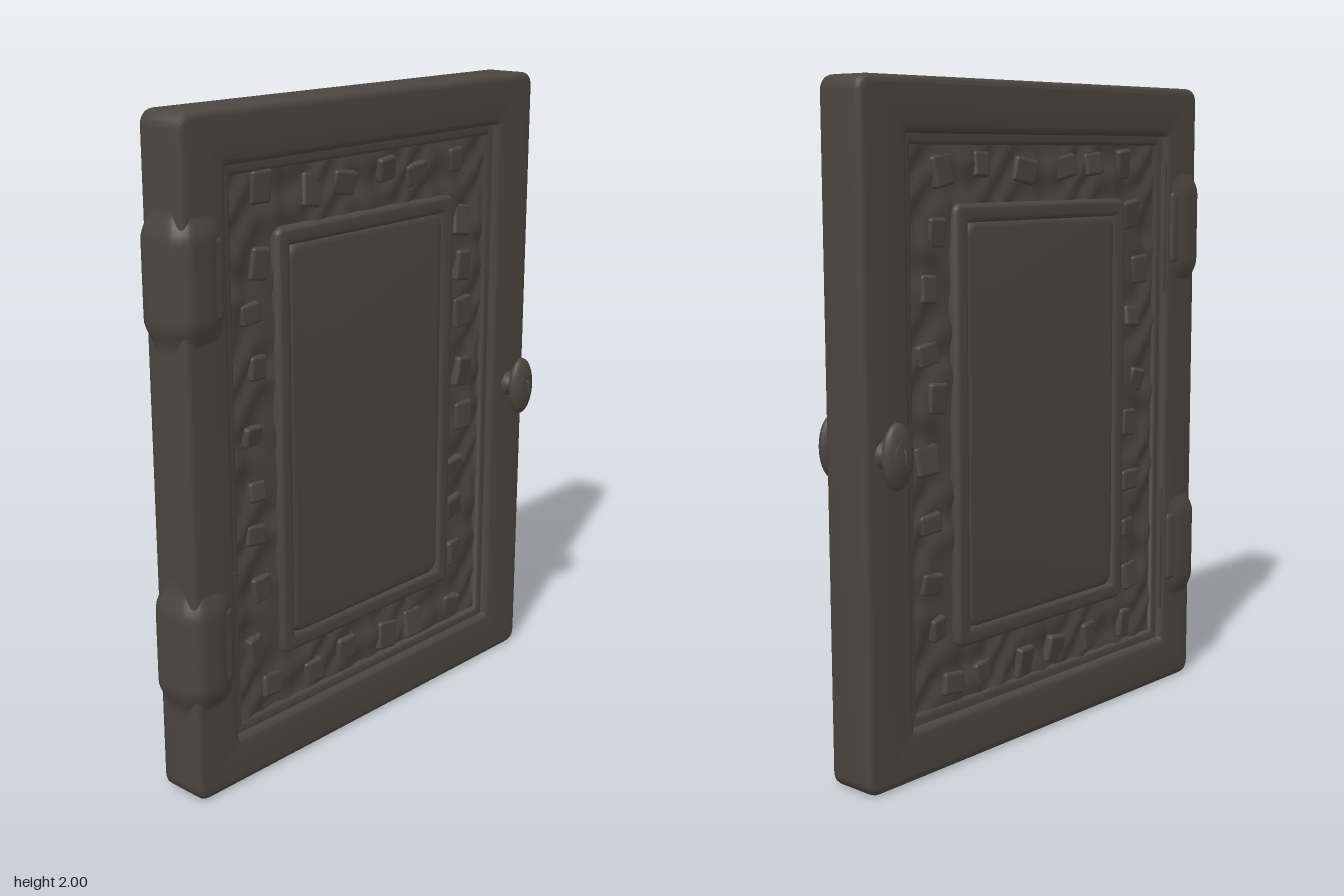
import * as THREE from 'three';
import { toCreasedNormals } from 'three/addons/utils/BufferGeometryUtils.js';
import { RoundedBoxGeometry } from 'three/addons/geometries/RoundedBoxGeometry.js';

const CY = 1; // height of the door's middle

function roundedRect(path, x0, y0, x1, y1, r) {
  path.moveTo(x0 + r, y0);
  path.lineTo(x1 - r, y0);
  path.quadraticCurveTo(x1, y0, x1, y0 + r);
  path.lineTo(x1, y1 - r);
  path.quadraticCurveTo(x1, y1, x1 - r, y1);
  path.lineTo(x0 + r, y1);
  path.quadraticCurveTo(x0, y1, x0, y1 - r);
  path.lineTo(x0, y0 + r);
  path.quadraticCurveTo(x0, y0, x0 + r, y0);
  return path;
}

// Soft-edged slab (optionally with an opening); sizes are the finished outer sizes
function slab(outer, hole, z0, z1, bevel, r) {
  const [x0, y0, x1, y1] = outer;
  const shape = roundedRect(new THREE.Shape(), x0 + bevel, y0 + bevel, x1 - bevel, y1 - bevel, r);
  if (hole) {
    const [a, b, c, d] = hole;
    shape.holes.push(roundedRect(new THREE.Path(), a - bevel, b - bevel, c + bevel, d + bevel, r));
  }
  const geo = new THREE.ExtrudeGeometry(shape, {
    depth: z1 - z0 - 2 * bevel, bevelThickness: bevel, bevelSize: bevel, bevelSegments: 4, curveSegments: 5,
  });
  geo.translate(0, 0, z0 + bevel);
  return toCreasedNormals(geo, 0.7);
}

function seeded(seed) {
  let s = seed;
  return () => (s = (s * 16807) % 2147483647) / 2147483647;
}

// Uneven carved ground between the frame and the panel
function carvedGround(seed) {
  const rnd = seeded(seed);
  const geo = new THREE.PlaneGeometry(1.2, 1.72, 60, 86);
  const p = geo.attributes.position;
  const a = rnd() * 6, b = rnd() * 6;
  for (let i = 0; i < p.count; i++) {
    const x = p.getX(i), y = p.getY(i);
    const wave = Math.sin(x * 31 + a + 2 * Math.sin(y * 13)) * Math.sin(y * 27 + b + 2 * Math.sin(x * 17));
    p.setZ(i, 0.047 + 0.009 * wave + 0.003 * Math.sin(x * 67 + y * 53));
  }
  geo.computeVertexNormals();
  return geo;
}

export function createModel() {
  const door = new THREE.Group();
  door.name = 'door';
  const wood = new THREE.MeshStandardMaterial({ color: 0x4a4640 });
  wood.name = 'dark wood';

  const add = (parent, name, geo, x = 0, y = 0, z = 0) => {
    const mesh = new THREE.Mesh(geo, wood);
    mesh.name = name;
    mesh.position.set(x, y, z);
    parent.add(mesh);
    return mesh;
  };

  // Outer frame
  add(door, 'frame', slab([-0.75, 0, 0.765, 2], [-0.585, 0.155, 0.585, 1.845], -0.083, 0.08, 0.02, 0.025));

  // Each face carries the carving, inner moulding, panel and handle
  for (const side of [1, -1]) {
    const face = new THREE.Group();
    face.name = side > 0 ? 'frontFace' : 'backFace';
    face.rotation.y = side > 0 ? 0 : Math.PI;
    door.add(face);

    add(face, 'carvedGround', carvedGround(side > 0 ? 71 : 523), 0, CY, 0);

    // Thin lip just inside the frame
    add(face, 'outerLip', slab([-0.6, 0.14, 0.6, 1.86], [-0.555, 0.185, 0.555, 1.815], 0.02, 0.06, 0.012, 0.015));

    // Small chipped blocks spread around the band
    const rnd = seeded(side > 0 ? 977 : 3119);
    const blocks = [];
    for (let i = 0; i < 8; i++) {
      const y = 0.42 + i * 0.165;
      blocks.push([-0.47, y], [0.46, y]);
    }
    for (let i = 0; i < 6; i++) {
      const x = -0.42 + i * 0.168;
      blocks.push([x, 0.25], [x, 1.75]);
    }
    for (const [x, y] of blocks) {
      const block = add(face, 'carvedBlock',
        new RoundedBoxGeometry(0.06 + 0.03 * rnd(), 0.06 + 0.04 * rnd(), 0.03, 2, 0.01),
        x + (rnd() - 0.5) * 0.06, y + (rnd() - 0.5) * 0.05, 0.045);
      block.rotation.set((rnd() - 0.5) * 0.35, (rnd() - 0.5) * 0.35, (rnd() - 0.5) * 0.4);
    }

    // Inner moulding and raised panel
    add(face, 'panelMoulding', slab([-0.39, 0.345, 0.39, 1.65], [-0.335, 0.4, 0.335, 1.595], 0.02, 0.07, 0.015, 0.015));
    add(face, 'panel', slab([-0.345, 0.39, 0.345, 1.605], null, 0.0, 0.065, 0.025, 0.03));

    // Oval handle on a short stem
    const handle = new THREE.Group();
    handle.name = 'handle';
    handle.position.set(0.685 * side, 0.975, 0);
    face.add(handle);
    const stem = new THREE.LatheGeometry([
      [0.045, 0.07], [0.042, 0.085], [0.022, 0.095], [0.022, 0.13],
    ].map(([r, y]) => new THREE.Vector2(r, y)), 20);
    stem.rotateX(Math.PI / 2);
    add(handle, 'handleStem', stem);
    const grip = new THREE.SphereGeometry(1, 24, 16);
    grip.scale(0.055, 0.095, 0.027);
    add(handle, 'handleGrip', grip, 0, 0, 0.128);
    const ring = new THREE.TorusGeometry(0.026, 0.006, 8, 20);
    ring.scale(1, 1.5, 1);
    add(handle, 'handleRing', ring, 0, 0, 0.147);
    const curl = new THREE.CatmullRomCurve3([[0, 0.02, 0.148], [0, 0.018, 0.16], [0, 0, 0.164], [0, -0.02, 0.163]]
      .map((v) => new THREE.Vector3(...v)));
    add(handle, 'handleCurl', new THREE.TubeGeometry(curl, 10, 0.004, 6), 0, 0, -0.002);
  }

  // Hinge wraps on the right edge, thinning into the frame
  for (const y of [1.55, 0.47]) {
    const geo = new THREE.BoxGeometry(0.19, 0.42, 0.2, 12, 28, 12);
    const p = geo.attributes.position;
    for (let i = 0; i < p.count; i++) {
      const px = p.getX(i), py = p.getY(i), pz = p.getZ(i);
      const swell = 1 - THREE.MathUtils.smoothstep(Math.abs(py), 0.11, 0.2);
      const inward = THREE.MathUtils.smoothstep(px, 0.0, 0.095);
      const corner = px < -0.06 ? 0.02 * ((-px - 0.06) / 0.035) ** 2 : 0;
      const sign = pz / 0.1;
      const half = 0.077 + 0.022 * swell * (1 - inward) - corner;
      const edge = 0.022 * (1 - swell) + 0.018 * sign ** 6;
      p.setXYZ(i, px + edge * (px < 0 ? -px / 0.095 : 0), py, sign * half);
    }
    add(door, 'hinge', toCreasedNormals(geo, 0.8), -0.678, y, -0.001);
    // Flat leaf of the hinge, standing slightly proud of both faces
    add(door, 'hingeLeaf', new RoundedBoxGeometry(0.13, 0.24, 0.184, 3, 0.02), -0.67, y, -0.001);
  }

  return door;
}
